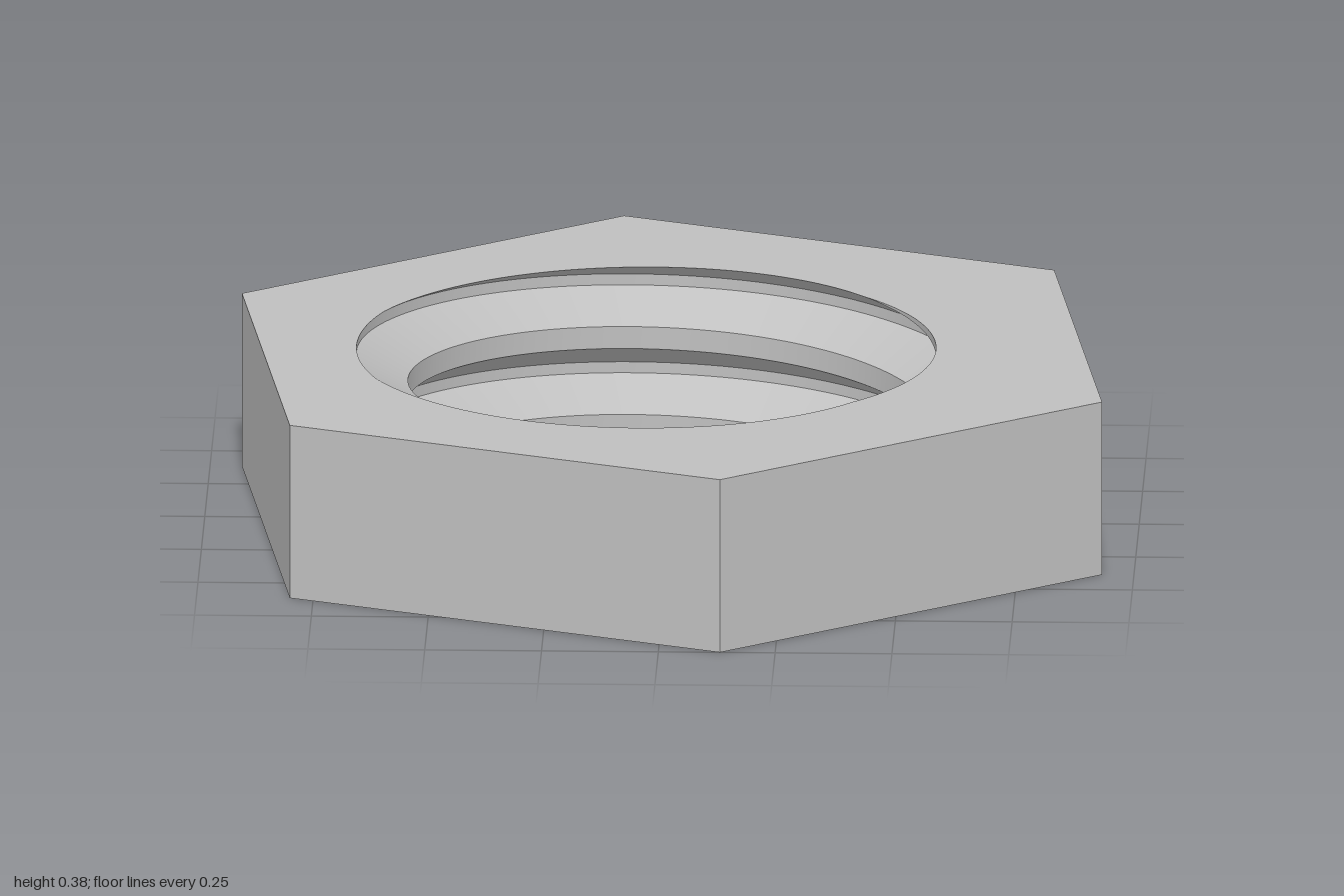
import * as THREE from 'three';
import { toCreasedNormals } from 'three/addons/utils/BufferGeometryUtils.js';

const HEIGHT = 0.385, PITCH = 0.196;
const CREST = 0.565, ROOT = 0.675;      // thread radii
const HEX = 1.0086;                     // hexagon corner radius
const CORNER = THREE.MathUtils.degToRad(-22.5);
const SEGMENTS = 288;                   // 1.25 degree steps land on every corner

// Height of the groove centre at an angle: a right-hand helix
const grooveY = (a) => HEIGHT + PITCH * (a - Math.PI) / (2 * Math.PI);

// Bore radius: flat crest, sloping flanks and a narrow flat root
function boreRadius(a, y) {
  const turns = (y - grooveY(a)) / PITCH;
  const d = Math.abs(turns - Math.round(turns));
  const depth = THREE.MathUtils.clamp((3 / 8 - d) / (5 / 16), 0, 1);
  return CREST + (ROOT - CREST) * depth;
}

// Distance from the axis to the hexagon's side
function hexRadius(a) {
  const sector = Math.PI / 3;
  const local = (((a - CORNER) % sector) + sector) % sector;
  return HEX * Math.cos(sector / 2) / Math.cos(local - sector / 2);
}

// Sweep a profile of [radius, y] points, which may vary with angle, round the axis
function sweep(profile) {
  const columns = [];
  for (let i = 0; i <= SEGMENTS; i++) {
    const a = i / SEGMENTS * Math.PI * 2;
    columns.push(profile(a).map(([r, y]) => new THREE.Vector3(r * Math.cos(a), y, -r * Math.sin(a))));
  }
  const positions = [];
  const addTriangle = (...points) => {
    if (new THREE.Triangle(...points).getArea() < 1e-8) return;
    for (const p of points) positions.push(p.x, p.y, p.z);
  };
  for (let i = 0; i < SEGMENTS; i++) {
    const u = columns[i], v = columns[i + 1];
    for (let j = 0; j < u.length - 1; j++) {
      addTriangle(u[j], v[j], v[j + 1]);
      addTriangle(u[j], v[j + 1], u[j + 1]);
    }
  }
  const geometry = new THREE.BufferGeometry();
  geometry.setAttribute('position', new THREE.Float32BufferAttribute(positions, 3));
  return toCreasedNormals(geometry, Math.PI / 6);
}

// Underside, six flat sides and top face
const bodyProfile = (a) => [
  [boreRadius(a, 0), 0],
  [hexRadius(a), 0],
  [hexRadius(a), HEIGHT],
  [boreRadius(a, HEIGHT), HEIGHT],
];

// Thread section from top to bottom, trimmed at both faces
function threadProfile(a) {
  const points = [];
  for (let k = 2; k >= -4; k--) {
    for (const offset of [3 / 8, 1 / 16, -1 / 16, -3 / 8]) {
      const y = THREE.MathUtils.clamp(grooveY(a) + (k + offset) * PITCH, 0, HEIGHT);
      points.push([boreRadius(a, y), y]);
    }
  }
  return points;
}

export function createModel() {
  const steel = new THREE.MeshStandardMaterial({ color: 0xbfbfbf });
  steel.name = 'steel';

  const group = new THREE.Group();
  group.name = 'hexNut';
  for (const [name, profile] of [['nutBody', bodyProfile], ['threadedBore', threadProfile]]) {
    const mesh = new THREE.Mesh(sweep(profile), steel);
    mesh.name = name;
    group.add(mesh);
  }
  return group;
}
